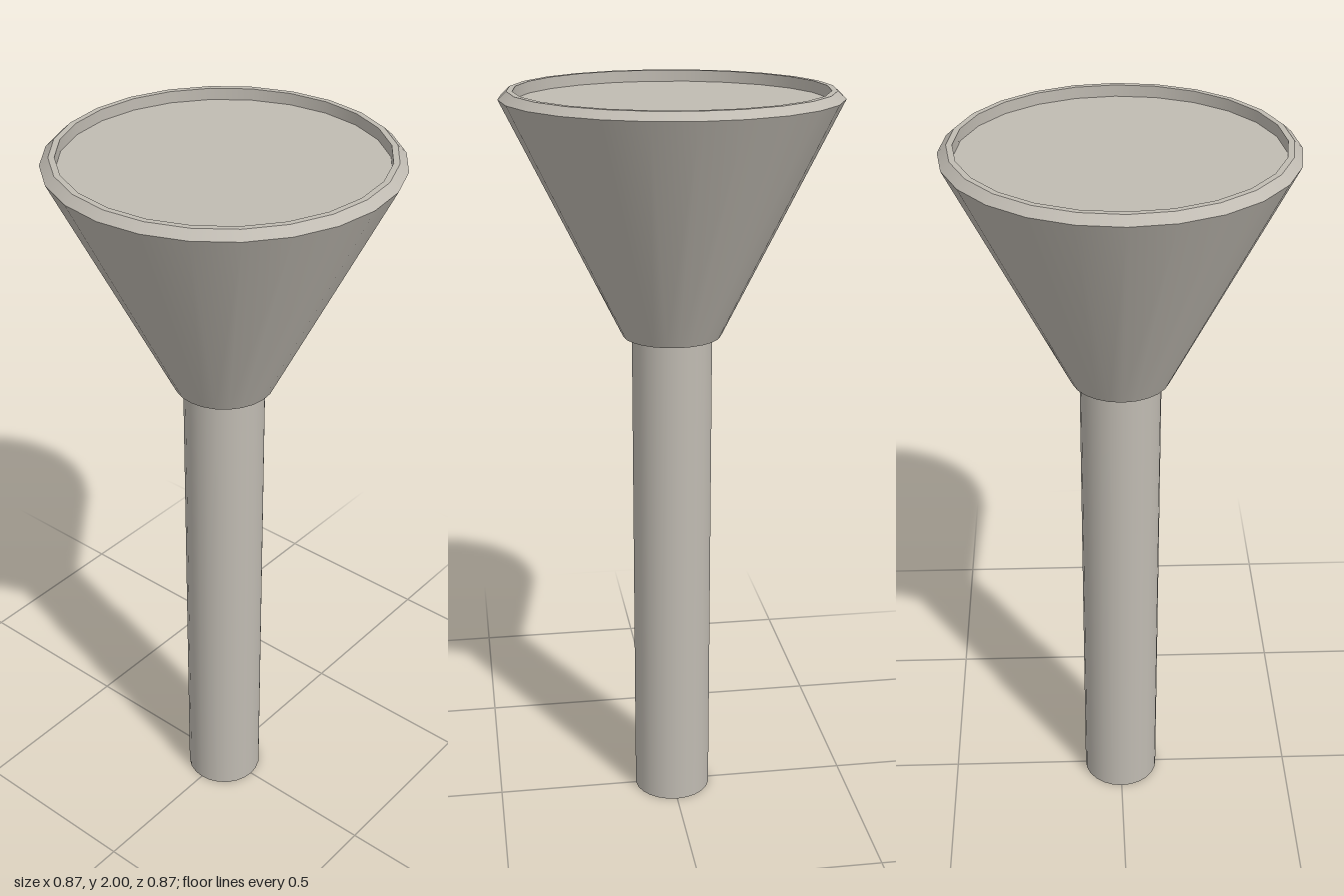
import * as THREE from 'three';

const SIDES = 24;

export function createModel() {
  const model = new THREE.Group();
  const stone = new THREE.MeshStandardMaterial({ color: 0xc0bbb2 });
  stone.name = 'warm grey';

  const add = (parent, name, geometry, y = 0) => {
    const mesh = new THREE.Mesh(geometry, stone);
    mesh.name = name;
    mesh.position.y = y;
    parent.add(mesh);
    return mesh;
  };

  // Smooth conical band between two heights, open at both ends
  const band = (parent, name, r0, y0, r1, y1) =>
    add(parent, name, new THREE.CylinderGeometry(r1, r0, y1 - y0, SIDES, 1, true), (y0 + y1) / 2);

  // Straight stem with a closed foot
  add(model, 'stem', new THREE.CylinderGeometry(0.107, 0.107, 1.37, SIDES), 0.685);

  // Flared head
  const head = new THREE.Group();
  head.name = 'head';
  model.add(head);
  band(head, 'cone', 0.13, 1.36, 0.437, 1.98);
  band(head, 'rimBevel', 0.437, 1.98, 0.415, 2);

  // Flat ring under the cone, around the stem
  add(head, 'collar', new THREE.RingGeometry(0.1, 0.13, SIDES).rotateX(Math.PI / 2), 1.36);

  // Flat lip, recess wall facing inward, and sunken top panel
  add(head, 'lip', new THREE.RingGeometry(0.4, 0.415, SIDES).rotateX(-Math.PI / 2), 2);
  const wall = new THREE.LatheGeometry(
    [new THREE.Vector2(0.4, 2), new THREE.Vector2(0.4, 1.97)], SIDES);
  add(head, 'recessWall', wall);
  add(head, 'topPanel', new THREE.CircleGeometry(0.4, SIDES).rotateX(-Math.PI / 2), 1.97);

  return model;
}
